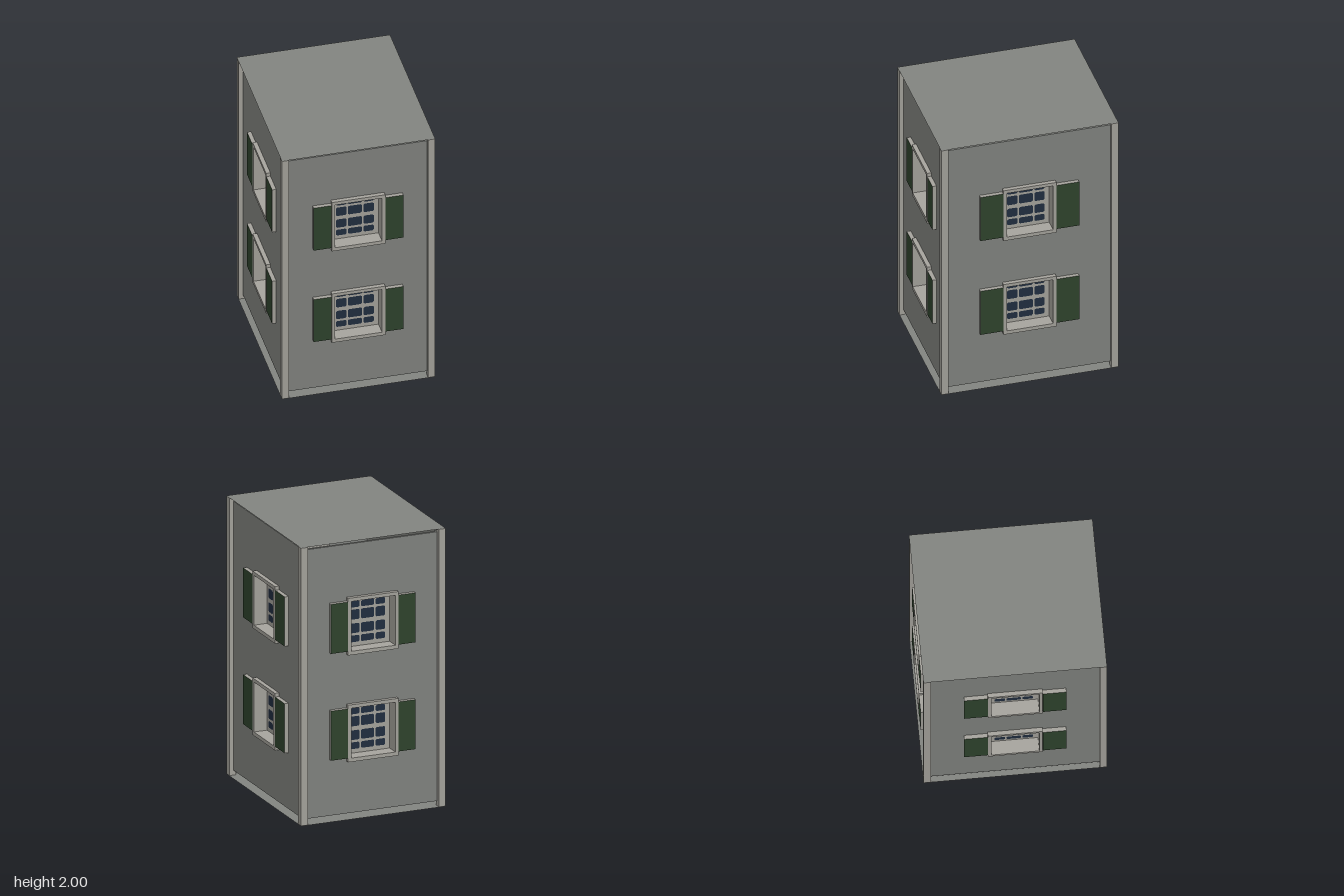
import * as THREE from 'three';

const W = 1.08, D = 1.26, H = 2, POST = 0.05, INSET = 0.03, RECESS = 0.1;

function makeMaterial(name, color, side = THREE.FrontSide) {
  const m = new THREE.MeshStandardMaterial({ color, side });
  m.name = name;
  return m;
}

const stone = makeMaterial('wallGrey', 0x828480, THREE.DoubleSide);
const trim = makeMaterial('paleTrim', 0xa6a49d);
const green = makeMaterial('shutterGreen', 0x2f442d);
const glass = makeMaterial('darkGlass', 0x212e40);

function add(parent, name, geometry, material, x = 0, y = 0, z = 0) {
  const mesh = new THREE.Mesh(geometry, material);
  mesh.name = name;
  mesh.position.set(x, y, z);
  parent.add(mesh);
  return mesh;
}

function rect(target, x0, y0, x1, y1) {
  target.moveTo(x0, y0);
  target.lineTo(x1, y0);
  target.lineTo(x1, y1);
  target.lineTo(x0, y1);
  target.closePath();
  return target;
}

// Pane with clipped corners
function paneShape(x0, y0, x1, y1, c = 0.008) {
  return new THREE.Shape([
    [x0 + c, y0], [x1 - c, y0], [x1, y0 + c], [x1, y1 - c],
    [x1 - c, y1], [x0 + c, y1], [x0, y1 - c], [x0, y0 + c],
  ].map(([x, y]) => new THREE.Vector2(x, y)));
}

// Window and its shutters; z = 0 is the outermost plane, y = 0 the window centre
function makeWindow(shutterWidth) {
  const g = new THREE.Group();
  g.name = 'window';

  // Deep frame
  const frame = rect(new THREE.Shape(), -0.188, -0.205, 0.188, 0.205);
  frame.holes.push(rect(new THREE.Path(), -0.165, -0.178, 0.165, 0.18));
  add(g, 'windowFrame', new THREE.ExtrudeGeometry(frame, { depth: RECESS, bevelEnabled: false }), trim, 0, 0, -RECESS);

  // Recessed sash and panes
  add(g, 'sash', new THREE.BoxGeometry(0.35, 0.38, 0.01), trim, 0, 0, -RECESS - 0.003);
  const columns = [[-0.135, -0.061], [-0.051, 0.048], [0.059, 0.131]];
  const rows = [[-0.148, -0.1], [-0.083, -0.014], [0.015, 0.086], [0.102, 0.146]];
  const panes = [];
  for (const [x0, x1] of columns) {
    for (const [y0, y1] of rows) panes.push(paneShape(x0, y0, x1, y1));
  }
  add(g, 'panes', new THREE.ShapeGeometry(panes), glass, 0, 0, -RECESS + 0.005);

  // Shutters: green face, pale edges
  for (const s of [-1, 1]) {
    add(g, 'shutter', new THREE.BoxGeometry(shutterWidth, 0.356, INSET),
      [trim, trim, trim, trim, green, trim], s * (0.189 + shutterWidth / 2), 0.001, -INSET / 2 - 0.001);
  }
  return g;
}

// One side of the tower, facing +z
function makeFacade(width, shutterWidth) {
  const g = new THREE.Group();
  g.name = 'facade';
  const half = width / 2 - POST;
  const wall = rect(new THREE.Shape(), -half, 0.037, half, 1.972);
  for (const y of [0.618, 1.386]) {
    wall.holes.push(rect(new THREE.Path(), -0.187, y - 0.204, 0.187, y + 0.204));
    const win = makeWindow(shutterWidth);
    win.position.y = y;
    g.add(win);
  }
  add(g, 'wall', new THREE.ExtrudeGeometry(wall, { depth: 0.02, bevelEnabled: false }), stone, 0, 0, -INSET - 0.02);
  return g;
}

export function createModel() {
  const model = new THREE.Group();
  model.name = 'tower';

  // Four facades
  for (let i = 0; i < 4; i++) {
    const side = i % 2 === 1;
    const facade = side ? makeFacade(D, 0.162) : makeFacade(W, 0.127);
    const out = (side ? W : D) / 2;
    const a = i * Math.PI / 2;
    facade.rotation.y = a;
    facade.position.set(Math.sin(a) * out, 0, Math.cos(a) * out);
    model.add(facade);
  }

  // Corner posts
  for (const sx of [-1, 1]) {
    for (const sz of [-1, 1]) {
      add(model, 'cornerPost', new THREE.BoxGeometry(POST, H - 0.004, POST), trim,
        sx * (W - POST) / 2, H / 2, sz * (D - POST) / 2);
    }
  }

  // Thin roof and base sheets
  add(model, 'roof', new THREE.PlaneGeometry(W, D), stone, 0, H, 0).rotation.x = -Math.PI / 2;
  add(model, 'base', new THREE.PlaneGeometry(W, D), stone).rotation.x = Math.PI / 2;
  return model;
}
